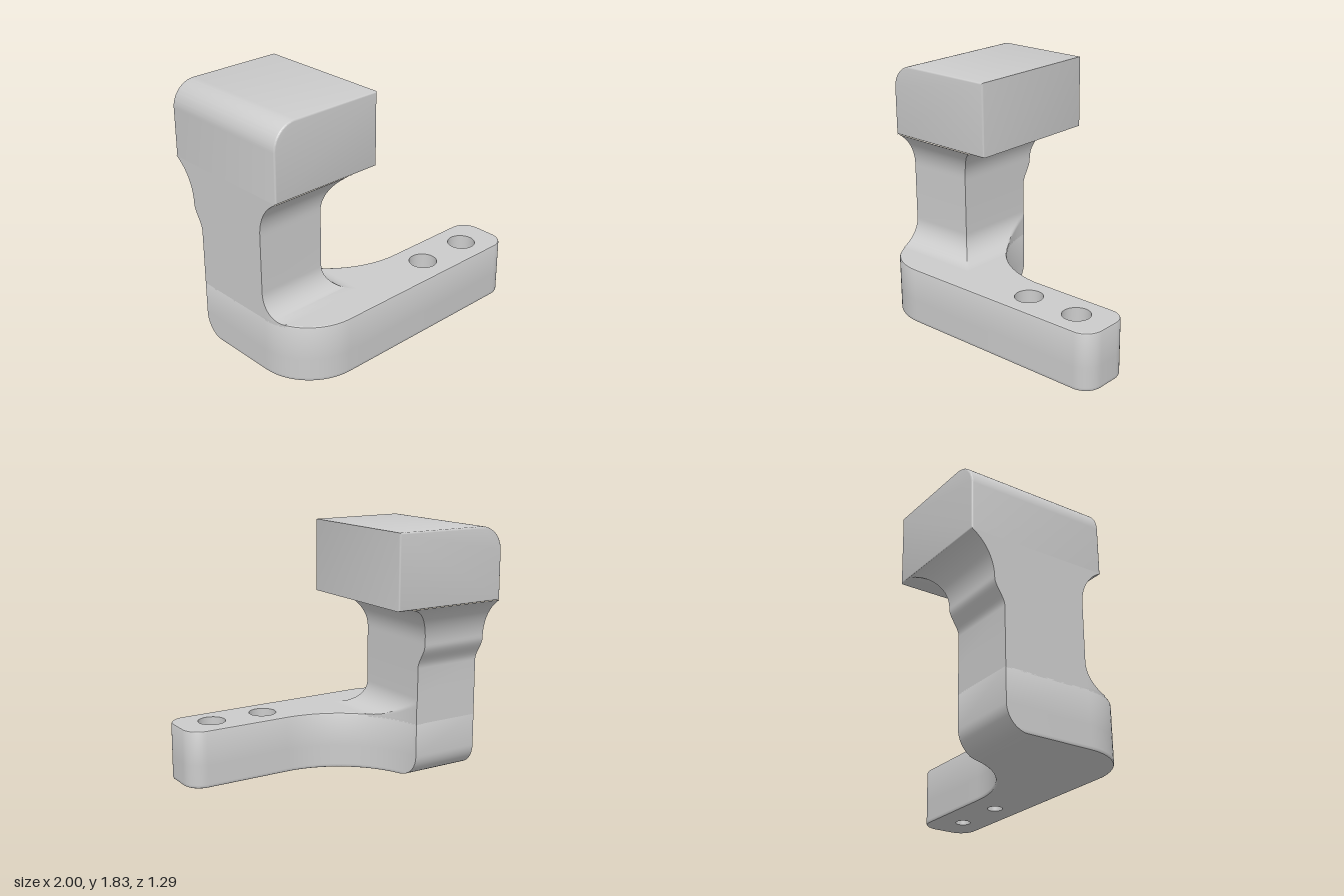
import * as THREE from 'three';
import { toCreasedNormals } from 'three/addons/utils/BufferGeometryUtils.js';

const material = new THREE.MeshStandardMaterial({ color: 0xcccccc });
const BASE_TOP = 0.42, EDGE = 0.012;
const HOLES = [0.315, 0.73], HOLE_Z = 0.44, BORE_R = 0.1, PIN_R = 0.055, BORE_FLOOR = 0.2;

// Skin closed rings of [x, z] points, each at its own height, ordered bottom to top.
function loft(rings) {
  const n = rings[0].pts.length, pos = [], index = [];
  rings.forEach(({ y, pts }) => pts.forEach(([x, z]) => pos.push(x, y, z)));
  for (let i = 0; i < rings.length - 1; i++) {
    for (let j = 0; j < n; j++) {
      const a = i * n + j, b = i * n + (j + 1) % n;
      index.push(a, b, b + n, a, b + n, a + n);
    }
  }
  const g = new THREE.BufferGeometry();
  g.setAttribute('position', new THREE.Float32BufferAttribute(pos, 3));
  g.setIndex(index);
  return toCreasedNormals(g, 0.6);
}

function addMesh(parent, name, geometry, mat = material) {
  const mesh = new THREE.Mesh(geometry, mat);
  mesh.name = name;
  parent.add(mesh);
  return mesh;
}

function arc(cx, cz, r, from, to, steps) {
  return Array.from({ length: steps + 1 }, (_, i) => {
    const t = from + (to - from) * i / steps;
    return [cx + r * Math.cos(t), cz + r * Math.sin(t)];
  });
}

// Foot plan, ending at zBack and inset by d.
function footOutline(zBack, d) {
  const h = Math.PI / 2, wallR = 0.71 + d;
  const end = Math.PI - Math.asin((zBack + d + 0.48) / wallR);
  return [
    ...arc(-0.6, 0.245, 0.4 - d, Math.PI, h, 16),
    ...arc(0.87, 0.515, 0.13 - d, h, 0, 10),
    ...arc(0.87, 0.36, 0.13 - d, 0, -h, 10),
    ...arc(0.23, -0.48, wallR, h, end, 28),
    [-1 + d, zBack + d],
  ];
}

// Flat cap with round holes; sign +1 faces up, -1 faces down.
function cap(pts, y, holeR, sign) {
  const shape = new THREE.Shape(pts.map(([x, z]) => new THREE.Vector2(x, -sign * z)));
  for (const x of HOLES) {
    shape.holes.push(new THREE.Path().absarc(x, -sign * HOLE_Z, holeR, 0, Math.PI * 2, true));
  }
  return new THREE.ShapeGeometry(shape, 20).rotateX(-sign * Math.PI / 2).translate(0, y, 0);
}

function buildFoot() {
  const foot = new THREE.Group();
  foot.name = 'foot';
  const R = 0.17;
  const zBack = y => y < R ? -0.4 + R - Math.sqrt(R * R - (R - y) ** 2) : -0.4;
  const levels = [[0, EDGE], [0.004, 0.004], [EDGE, 0]];
  for (let i = 5; i <= 14; i++) levels.push([R * (1 - Math.cos(i / 14 * Math.PI / 2)), 0]);
  levels.push([BASE_TOP - EDGE, 0], [BASE_TOP - 0.004, 0.004], [BASE_TOP, EDGE]);
  const rings = levels.map(([y, d]) => ({ y, pts: footOutline(zBack(y), d) }));
  addMesh(foot, 'footWall', loft(rings));
  addMesh(foot, 'footTop', cap(rings[rings.length - 1].pts, BASE_TOP, BORE_R, 1));
  addMesh(foot, 'footUnderside', cap(rings[0].pts, 0, PIN_R, -1));

  // Counterbored screw holes
  const profile = [[PIN_R, 0], [PIN_R, BORE_FLOOR], [BORE_R, BORE_FLOOR], [BORE_R, BASE_TOP]];
  const hole = toCreasedNormals(
    new THREE.LatheGeometry(profile.map(p => new THREE.Vector2(...p)), 40), 0.6);
  const inner = material.clone();
  inner.side = THREE.DoubleSide;
  for (const x of HOLES) addMesh(foot, 'screwHole', hole, inner).position.set(x, 0, HOLE_Z);
  return foot;
}

// Inward offset of a circular flare of radius r, at distance t along it.
const flare = (r, t) => r - Math.sqrt(Math.max(0, r * r - t * t));

// Waisted column: flared into the foot and into the head, flush on its outer side.
function buildColumn() {
  const lowFlare = y => y < 0.6 ? flare(0.18, Math.min(0.18, 0.6 - y)) : 0;
  const right = y => -0.48 + lowFlare(y) + (y > 1.02 ? flare(0.28, y - 1.02) : 0);
  const front = y => 0.23 + lowFlare(y) + (y > 1.03 ? flare(0.3, y - 1.03) : 0);
  const back = y => -0.4 - 0.075 * THREE.MathUtils.smoothstep(y, 0.82, 1)
    - (y > 1 ? flare(0.35, y - 1) : 0);
  // Limits set by the foot plan
  const wall = z => z < 0.23 ? 0.23 - Math.sqrt(0.504 - (z + 0.48) ** 2) : Infinity;
  const corner = z => z > 0.245 ? -0.6 - Math.sqrt(0.16 - (z - 0.245) ** 2) : -1;

  const ys = [0.4];
  for (let i = 0; i <= 16; i++) ys.push(0.6 - 0.18 * Math.cos(i / 16 * Math.PI / 2));
  for (let i = 0; i <= 10; i++) ys.push(0.82 + 0.018 * i);
  for (let i = 0; i <= 16; i++) ys.push(1.02 + 0.28 * Math.sin(i / 16 * Math.PI / 2));

  const N = 28;
  const rings = ys.map(y => {
    const pts = [], zf = front(y), zb = back(y), low = y < 0.8;
    for (let i = 0; i <= N; i++) {
      const z = zf + (zb - zf) * i / N;
      pts.push([low ? Math.min(right(y), wall(z)) : right(y), z]);
    }
    for (let i = N; i >= 0; i--) {
      const z = zf + (zb - zf) * i / N;
      pts.push([low ? corner(z) : -1, z]);
    }
    return { y, pts };
  });
  return loft(rings);
}

// Head block with one large rounded upper edge and softened ends.
function buildHead() {
  const e = EDGE, x0 = -1 + e, x1 = -0.13 - e, y0 = 1.3 + e, y1 = 1.825 - e, r = 0.165;
  const s = new THREE.Shape();
  s.moveTo(x0, y0);
  s.lineTo(x1, y0);
  s.lineTo(x1, y1);
  s.lineTo(x0 + r, y1);
  s.absarc(x0 + r, y1 - r, r, Math.PI / 2, Math.PI, false);
  const g = new THREE.ExtrudeGeometry(s, {
    depth: 1.045 - 2 * e, bevelSize: e, bevelThickness: e, bevelSegments: 3, curveSegments: 14,
  });
  return toCreasedNormals(g.translate(0, 0, -0.645 + e), 0.6);
}

export function createModel() {
  const model = new THREE.Group();
  model.name = 'bracket';
  model.add(buildFoot());
  addMesh(model, 'column', buildColumn());
  addMesh(model, 'head', buildHead());
  return model;
}
